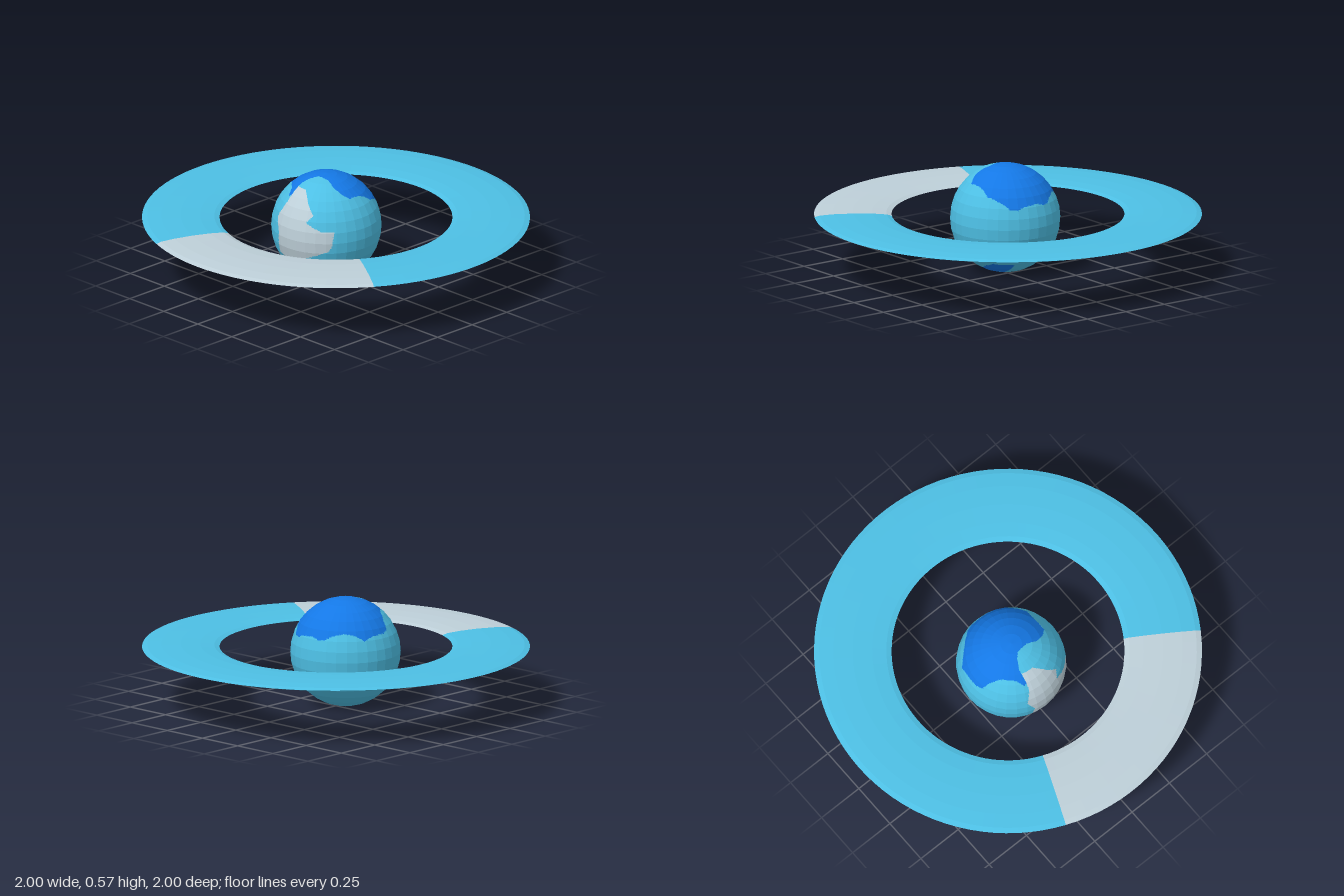
import * as THREE from 'three';

const mat = (name, color) => {
  const m = new THREE.MeshStandardMaterial({ color, flatShading: true });
  m.name = name;
  return m;
};

// Patch outlines on a globe of radius 53: [x, z] for the caps, [z, y] for the side
const northPatch = [[-10, 31], [-5, 37], [10, 37], [22, 38], [32, 33], [42, 26], [46, 19], [48, 5], [48, -10],
  [46, -16], [39, -25], [27, -38], [20, -45], [5, -47], [-4, -47], [-10, -45], [-13, -38], [-18, -29],
  [-24, -24], [-29, -18], [-37, -14], [-36, -11], [-24, -10], [-15, -5], [-10, 0], [-9, 12], [-12, 22]];
const southPatch = [[-13, 17], [-5, 25], [10, 32], [22, 31], [32, 18], [33, 14], [18, 12], [8, 13], [-5, 18]];
const sidePatch = [[8, 40], [2, 44], [-10, 44], [-12, 31], [-19, 16], [-13, 2], [-16, -20], [-5, -23], [8, -21],
  [23, -16], [39, -8], [42, -1], [42, 12], [33, 12], [18, 19], [23, 26]];

function inside(poly, a, b) {
  let hit = false;
  for (let i = 0, j = poly.length - 1; i < poly.length; j = i++) {
    const [ax, ay] = poly[i], [bx, by] = poly[j];
    if ((ay > b) !== (by > b) && a < ((bx - ax) * (b - ay)) / (by - ay) + ax) hit = !hit;
  }
  return hit;
}

// 0 = sea, 1 = blue patch, 2 = grey patch
function region(p) {
  const d = p.clone().normalize().multiplyScalar(53);
  if (d.x < 0 && inside(sidePatch, d.z, d.y)) return 2;
  return inside(d.y > 0 ? northPatch : southPatch, d.x, d.z) ? 1 : 0;
}

// Faceted globe: every flat facet is split finely so colours can change within it
function globeGeometry(radius, cols, rows, split) {
  const point = (c, r) => new THREE.Vector3().setFromSphericalCoords(
    radius, (r / rows) * Math.PI, (c / cols) * Math.PI * 2);
  const buckets = [[], [], []];
  const addTriangle = (a, b, c) => {
    const centre = a.clone().add(b).add(c).divideScalar(3);
    buckets[region(centre)].push(...a.toArray(), ...b.toArray(), ...c.toArray());
  };
  for (let r = 0; r < rows; r++) {
    for (let c = 0; c < cols; c++) {
      const p00 = point(c, r), p10 = point(c + 1, r), p01 = point(c, r + 1), p11 = point(c + 1, r + 1);
      const at = (u, v) => p00.clone().lerp(p10, u / split)
        .lerp(p01.clone().lerp(p11, u / split), v / split);
      for (let v = 0; v < split; v++) {
        for (let u = 0; u < split; u++) {
          const a = at(u, v), b = at(u, v + 1), d = at(u + 1, v + 1), e = at(u + 1, v);
          if (r < rows - 1 || v < split - 1) addTriangle(a, b, d);
          if (r > 0 || v > 0) addTriangle(a, d, e);
          if (r === rows - 1 && v === split - 1) addTriangle(a, b, e);
        }
      }
    }
  }
  const geo = new THREE.BufferGeometry();
  geo.setAttribute('position', new THREE.Float32BufferAttribute(buckets.flat(), 3));
  let start = 0;
  buckets.forEach((bucket, i) => {
    geo.addGroup(start, bucket.length / 3, i);
    start += bucket.length / 3;
  });
  geo.computeVertexNormals();
  return geo;
}

export function createModel() {
  const sea = mat('lightBlue', 0x4dbfe4);
  const blue = mat('deepBlue', 0x1478e6);
  const grey = mat('paleGrey', 0xbdcfd8);
  const model = new THREE.Group();
  model.name = 'ringedPlanet';

  // Planet
  const planet = new THREE.Mesh(globeGeometry(0.285, 32, 16, 8), [sea, blue, grey]);
  planet.name = 'planet';
  planet.position.set(-0.05, 0.285, -0.02);
  model.add(planet);

  // Flat ring in two arcs, angles in degrees from +x towards +z
  const addArc = (name, from, to, segments, material) => {
    const geo = new THREE.TorusGeometry(0.8, 0.2, 12, segments, THREE.MathUtils.degToRad(to - from));
    geo.rotateZ(THREE.MathUtils.degToRad(from));
    geo.rotateX(Math.PI / 2);
    geo.scale(1, 0.08, 1);
    const arc = new THREE.Mesh(geo, material);
    arc.name = name;
    arc.position.y = 0.316;
    model.add(arc);
  };
  addArc('ringGreyArc', 123.3, 202.4, 22, grey);
  addArc('ringBlueArc', 202.4, 483.3, 78, sea);

  return model;
}
